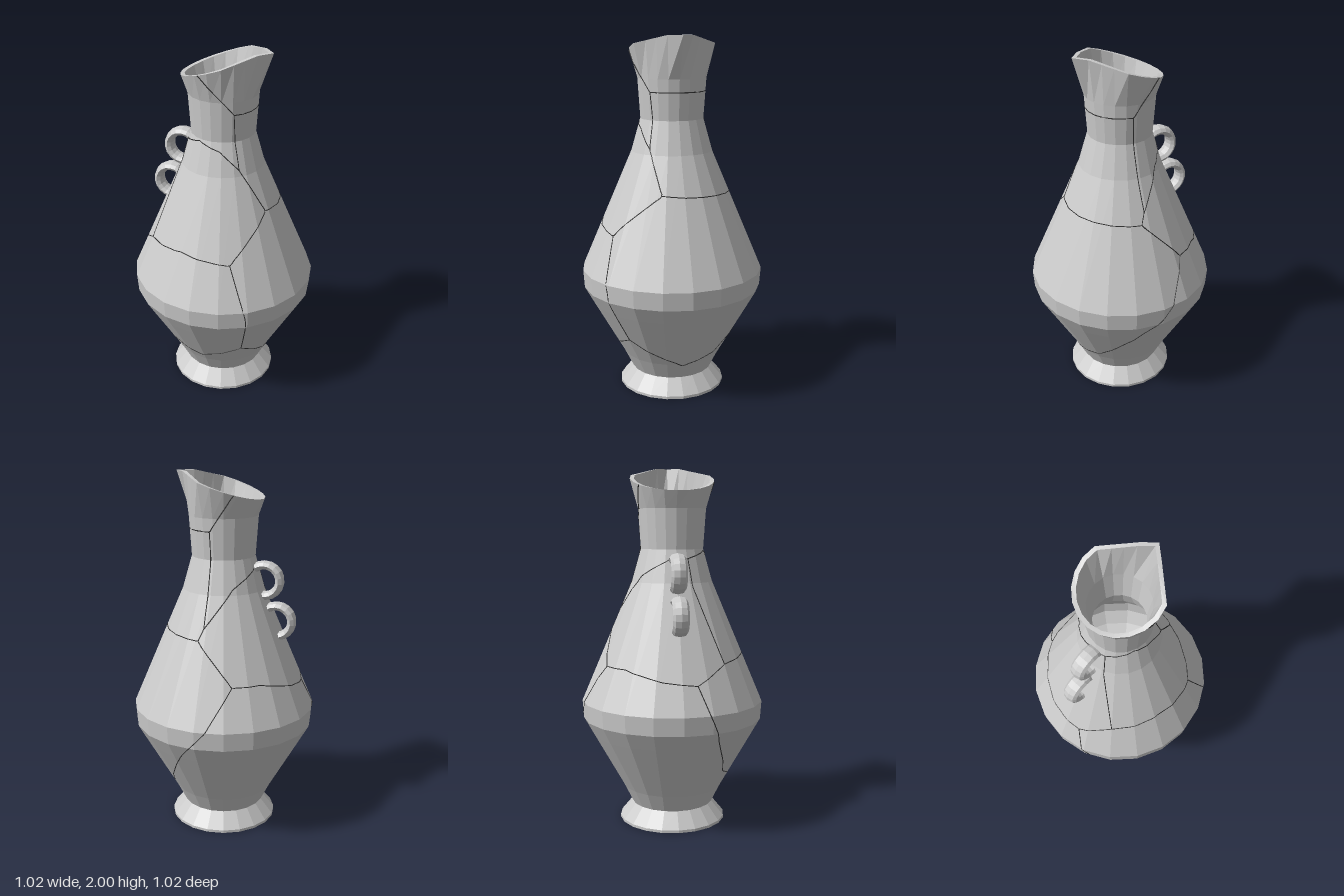
import * as THREE from 'three';

const SIDES = 20;
const STEP = (Math.PI * 2) / SIDES;

// Outer wall up to the neck, then inner wall back down: [radius, height]
const OUTER = [[0, 0], [0.3, 0], [0.3, 0.015], [0.23, 0.1], [0.28, 0.2], [0.455, 0.51],
  [0.505, 0.6], [0.512, 0.7], [0.226, 1.37], [0.175, 1.55], [0.19, 1.77]];
const INNER = [[0.165, 1.74], [0.14, 1.55], [0.19, 1.37], [0.475, 0.7], [0.47, 0.6],
  [0.42, 0.51], [0.15, 0.25], [0.09, 0.1], [0, 0.1]];

const polar = (r, y, t) => new THREE.Vector3(r * Math.cos(t), y, -r * Math.sin(t));

// Slanted rim: round at the back, drawn out to a pointed spout at +x
function rimPoint(t) {
  const a = Math.abs(Math.atan2(Math.sin(t), Math.cos(t)));
  const join = STEP * 4, jx = 0.235 * Math.cos(join), jz = 0.235 * Math.sin(join);
  let r = 0.235 - 0.012 * Math.max(0, -Math.cos(a));
  if (a < join) r = (0.27 * jz) / (jz * Math.cos(a) + (0.27 - jx) * Math.sin(a));
  return [r, Math.min(2, 1.932 + 0.32 * r * Math.cos(a))];
}

// Joins consecutive rings of points into faceted quads
function stitch(rings) {
  const pos = [], idx = [], n = SIDES + 1;
  rings.forEach((ring) => {
    for (let j = 0; j < n; j++) pos.push(...ring(j * STEP).toArray());
  });
  for (let i = 0; i < rings.length - 1; i++) {
    for (let j = 0; j < SIDES; j++) {
      const a = i * n + j, d = a + n;
      idx.push(a, a + 1, d + 1, a, d + 1, d);
    }
  }
  const g = new THREE.BufferGeometry();
  g.setAttribute('position', new THREE.Float32BufferAttribute(pos, 3));
  g.setIndex(idx);
  g.computeVertexNormals();
  return g;
}

// Point on the faceted outer wall nearest a rough position
function onWall([x, y, z]) {
  const t = Math.atan2(-z, x);
  const [rimR, rimY] = rimPoint(t);
  y = Math.min(y, rimY);
  const profile = [...OUTER, [rimR, rimY]];
  let k = 2;
  while (k < profile.length - 2 && y > profile[k + 1][1]) k++;
  const [r0, y0] = profile[k], [r1, y1] = profile[k + 1];
  const r = r0 + ((r1 - r0) * (y - y0)) / (y1 - y0);
  const off = t - (Math.floor(t / STEP) + 0.5) * STEP;
  const facet = y > 1.77 ? 1 : Math.cos(STEP / 2) / Math.cos(off);
  return polar(r * facet, y, t);
}

// Thin crack line following the wall through the given points
function crackGeometry(points) {
  const path = [];
  points.forEach((p, i) => {
    if (i === 0) return path.push(onWall(p));
    const q = points[i - 1];
    for (let s = 1; s <= 8; s++) path.push(onWall(p.map((v, c) => q[c] + ((v - q[c]) * s) / 8)));
  });
  return new THREE.TubeGeometry(new THREE.CatmullRomCurve3(path), path.length * 2, 0.003, 4);
}

export function createModel() {
  const group = new THREE.Group();
  const clay = new THREE.MeshStandardMaterial({ color: 0xcccccc, flatShading: true });
  const dark = new THREE.MeshStandardMaterial({ color: 0x333333 });
  const add = (name, geometry, material, parent = group) => {
    const mesh = new THREE.Mesh(geometry, material);
    mesh.name = name;
    parent.add(mesh);
    return mesh;
  };

  // Hollow body with foot, neck and spout
  const ring = ([r, y]) => (t) => polar(r, y, t);
  const rim = (scale) => (t) => {
    const [r, y] = rimPoint(t);
    return polar(r * scale, y, t);
  };
  add('jugBody', stitch([...OUTER.map(ring), rim(1), rim(0.9), ...INNER.map(ring)]), clay);

  // Two stacked half-loop handles, wider than they are thick
  const handles = new THREE.Group();
  handles.name = 'handles';
  group.add(handles);
  [['upperHandle', -0.235, 1.423, 50], ['lowerHandle', -0.307, 1.2, 50]].forEach(([name, x, y, start]) => {
    const from = THREE.MathUtils.degToRad(start);
    const loop = new THREE.TorusGeometry(0.085, 0.025, 8, 12, THREE.MathUtils.degToRad(285) - from);
    loop.rotateZ(from).scale(1, 1, 1.75);
    add(name, loop, clay, handles).position.set(x, y, 0);
  });

  // Junctions where cracks meet
  const frontLeft = [0.18, 0.94, 0.37], frontRight = [-0.33, 0.945, 0.24];
  const side = [0.29, 1.17, 0.12], low = [0.22, 0.35, 0.29];
  const neck = [0.115, 1.7, 0.145], shoulder = [0.15, 1.4, 0.155];
  const byHandle = [-0.17, 1.5, 0.06], handleSide = [-0.43, 0.85, 0.08];
  const back = [0.04, 1.14, -0.32], backUp = [0.015, 1.2, -0.3];
  const backLow = [-0.17, 0.92, -0.38], backNeck = [0.02, 1.7, -0.185];

  const cracks = new THREE.Group();
  cracks.name = 'cracks';
  group.add(cracks);
  [
    // Front belly and side
    [frontRight, [-0.1, 0.975, 0.39], frontLeft, side, shoulder, neck],
    [frontLeft, [0.29, 0.65, 0.42], low],
    [frontRight, [-0.23, 1.35, 0.09], byHandle],
    [byHandle, [-0.07, 1.54, 0.16], [0.05, 1.5, 0.18], shoulder],
    // Neck and rim
    [neck, [-0.05, 1.92, 0.22]],
    [neck, [0.18, 1.7, 0], backNeck, [-0.12, 1.9, -0.2]],
    // Around the back
    [side, [0.31, 1.16, 0], [0.2, 1.15, -0.24], back, backUp, backNeck],
    [backUp, [-0.12, 1.4, -0.2], [-0.19, 1.5, -0.03], byHandle],
    [back, backLow, [-0.3, 0.92, -0.29], [-0.43, 0.87, -0.1], handleSide, frontRight],
    // Underside of the belly
    [handleSide, [-0.48, 0.7, 0.14], [-0.44, 0.55, 0.2], [-0.25, 0.33, 0.26], [-0.02, 0.25, 0.3], low],
    [low, [0.28, 0.19, 0], [0.24, 0.25, -0.2], [0.17, 0.4, -0.35], [0.1, 0.52, -0.455],
      [-0.06, 0.7, -0.5], backLow],
  ].forEach((points) => add('crack', crackGeometry(points), dark, cracks));

  return group;
}
